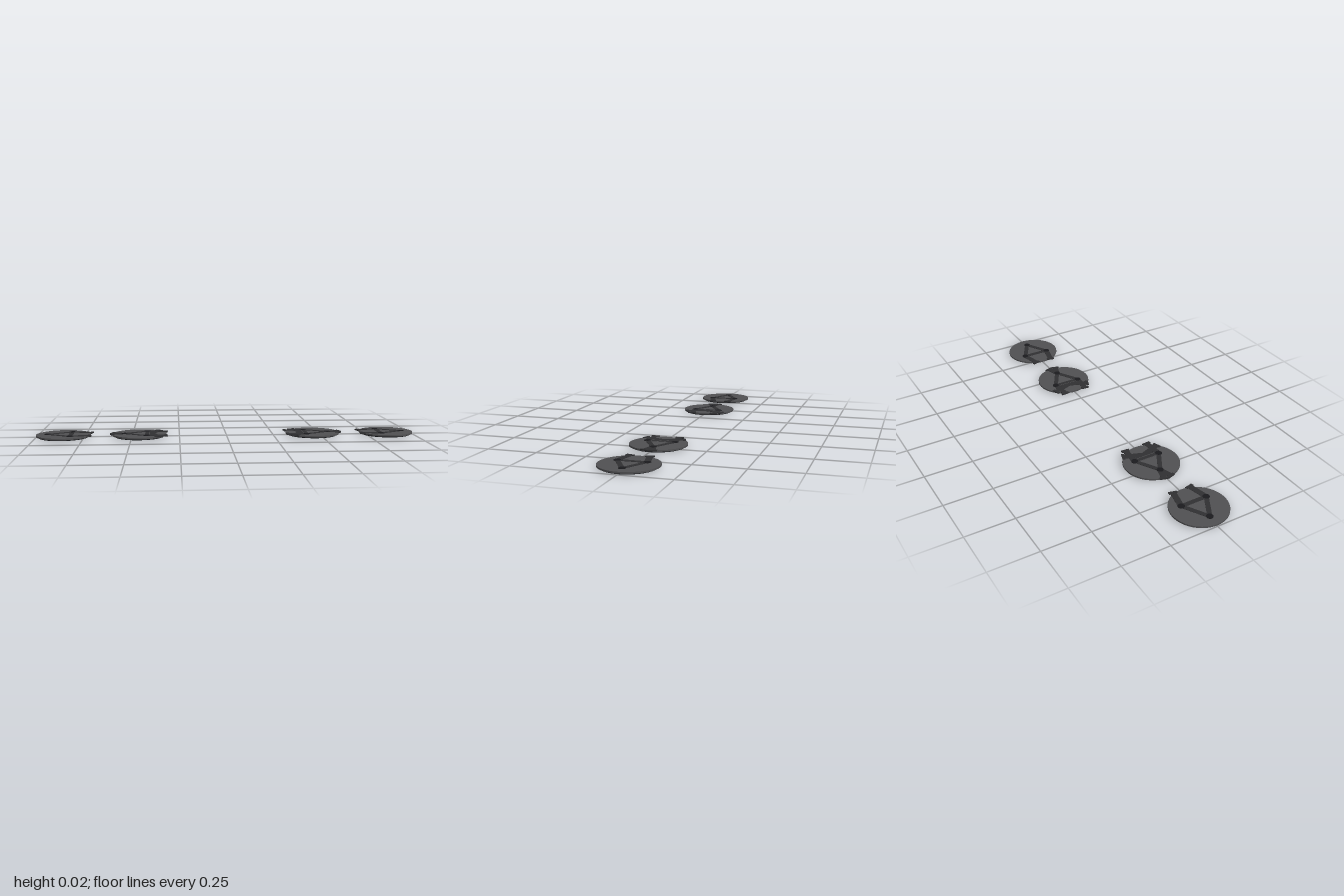
import * as THREE from 'three';

const mat = (color) => new THREE.MeshStandardMaterial({ color });
const plateMat = mat(0x505052), baseMat = mat(0x17181b), barMat = mat(0x303032), nodeMat = mat(0x1b1b1e);

function add(group, name, geometry, material, x, y, z, turn = 0) {
  const mesh = new THREE.Mesh(geometry, material);
  mesh.name = name;
  mesh.position.set(x, y, z);
  mesh.rotation.y = turn;
  group.add(mesh);
}

// Flat strip lying between two [x, z] points
function strip(group, name, a, b, width, y = 0.0142, height = 0.003, material = barMat) {
  const dx = b[0] - a[0], dz = b[1] - a[1];
  add(group, name, new THREE.BoxGeometry(Math.hypot(dx, dz), height, width), material,
    (a[0] + b[0]) / 2, y, (a[1] + b[1]) / 2, -Math.atan2(dz, dx));
}

// Arm reaching past the rim, with a wider cap at its end
function arm(group, a, b) {
  strip(group, 'arm', a, b, 0.03, 0.0135, 0.0045);
  const d = new THREE.Vector2(b[0] - a[0], b[1] - a[1]).normalize().multiplyScalar(0.014);
  strip(group, 'armCap', [b[0] - d.x, b[1] - d.y], b, 0.042, 0.0135, 0.0058);
}

// Round pad with a triangle of bars and studs, written for the +x side
function pad(name, x, nodes, arms) {
  const g = new THREE.Group();
  g.name = name;
  g.position.x = x;
  add(g, 'base', new THREE.CylinderGeometry(0.13, 0.13, 0.007, 48), baseMat, 0, 0.0035, 0);
  add(g, 'plate', new THREE.CylinderGeometry(0.142, 0.142, 0.008, 48), plateMat, 0, 0.01, 0);
  add(g, 'underside', new THREE.CylinderGeometry(0.1405, 0.1405, 0.001, 48), baseMat, 0, 0.0058, 0);
  nodes.forEach((n, i) => {
    strip(g, 'triangleBar', n, nodes[(i + 1) % 3], 0.023);
    add(g, 'stud', new THREE.CylinderGeometry(0.017, 0.017, 0.003, 20), nodeMat, n[0], 0.0148, n[1]);
  });
  arms.forEach(([a, b]) => arm(g, a, b));
  return g;
}

export function createModel() {
  const model = new THREE.Group();
  for (const s of [1, -1]) {
    const side = s > 0 ? 'left' : 'right';
    const m = ([x, z]) => [s * x, z];

    // Outer pad: triangle pointing outwards, two arms pointing inwards
    const outer = [[0.083, 0], [-0.04, -0.07], [-0.04, 0.07]];
    const outerArms = [-1, 1].map((k) => [[-0.04, 0.07 * k], [-0.148, 0.045 * k]]);
    model.add(pad(side + 'OuterPad', s * 0.858, outer.map(m), outerArms.map((p) => p.map(m))));

    // Inner pad: two arms outwards, crossing and short arms inwards
    const inner = [[0.08, 0], [-0.04, -0.07], [-0.04, 0.07]];
    const innerArms = [];
    for (const k of [-1, 1]) {
      innerArms.push([[0.08, 0], [0.15, 0.022 * k]]);
      innerArms.push([[-0.04, 0.07 * k], [-0.147, 0.062 * k]]);
      innerArms.push([[-0.04, -0.07 * k], [-0.103, 0.105 * k]]);
    }
    const g = pad(side + 'InnerPad', s * 0.46, inner.map(m), innerArms.map((p) => p.map(m)));
    // Pale edge lines along the upright bar
    for (const e of [-0.052, -0.028]) strip(g, 'barEdge', m([e, -0.05]), m([e, 0.05]), 0.003, 0.0145, 0.003, plateMat);
    model.add(g);
  }
  return model;
}
